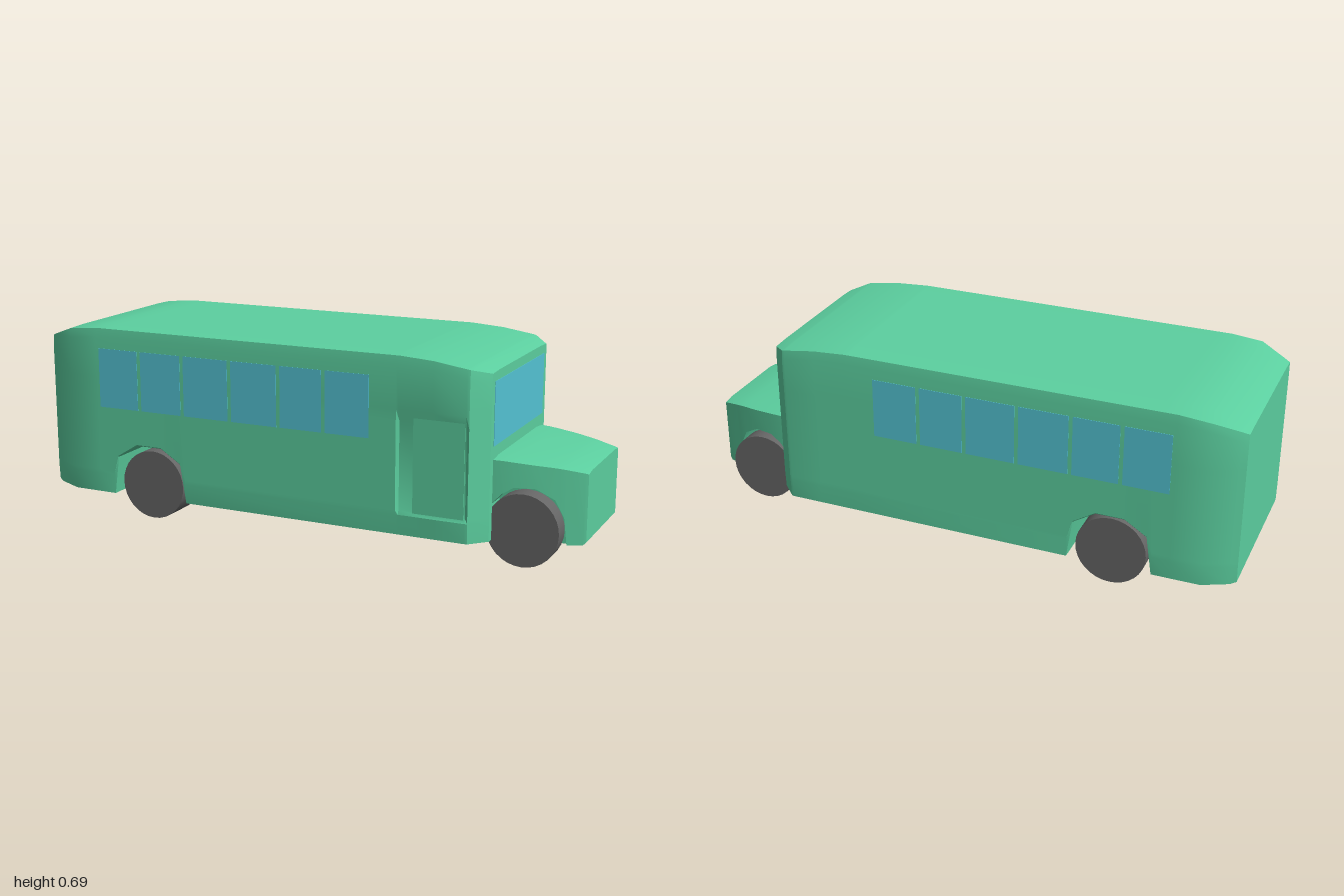
import * as THREE from 'three';
import { toCreasedNormals } from 'three/addons/utils/BufferGeometryUtils.js';

const GREEN = new THREE.MeshStandardMaterial({ color: 0x5cd0a0 });
const GLASS = new THREE.MeshStandardMaterial({ color: 0x54c4d4 });
const RUBBER = new THREE.MeshStandardMaterial({ color: 0x666666 });

// Skin over rings of [x, y, z]; each ring runs anticlockwise seen from +x.
function loft(rings, crease = 0.5) {
  const pos = [];
  const tri = (a, b, c) => pos.push(...a, ...b, ...c);
  const n = rings[0].length;
  for (let i = 0; i < rings.length - 1; i++) {
    for (let j = 0; j < n; j++) {
      const k = (j + 1) % n;
      const [a, b, c, d] = [rings[i][j], rings[i][k], rings[i + 1][k], rings[i + 1][j]];
      tri(a, b, c);
      tri(a, c, d);
    }
  }
  const first = rings[0];
  const last = rings[rings.length - 1];
  for (let j = 1; j < n - 1; j++) {
    tri(first[0], first[j + 1], first[j]);
    tri(last[0], last[j], last[j + 1]);
  }
  const geo = new THREE.BufferGeometry();
  geo.setAttribute('position', new THREE.Float32BufferAttribute(pos, 3));
  return toCreasedNormals(geo, crease);
}

function add(parent, name, geo, material, x = 0, y = 0, z = 0) {
  const mesh = new THREE.Mesh(geo, material);
  mesh.name = name;
  mesh.position.set(x, y, z);
  parent.add(mesh);
  return mesh;
}

// Body cross-section, with a shallow door recess on the +z side.
function bodyRing([x, bottom, top, w, recess = 0]) {
  const rows = [bottom, 0.15, 0.165, 0.47, 0.51, top - 0.035, top - 0.003];
  const inset = [0.004, 0, 0, 0, 0, 0, 0.004];
  const side = rows.map((y, i) => [Math.max(y, bottom + i * 0.004), w - inset[i]]);
  const right = side.map(([y, z]) => [x, y, -z]);
  const left = side.map(([y, z], i) => [x, y, z - (i === 2 || i === 3 ? recess : 0)]).reverse();
  return [...right, [x, top, -w * 0.76], [x, top, w * 0.76], ...left];
}

// Hood cross-section.
function hoodRing([x, bottom, top, w]) {
  return [
    [x, bottom, w], [x, bottom, -w], [x, top - 0.006, -w],
    [x, top, -w * 0.78], [x, top, w * 0.78], [x, top - 0.006, w],
  ];
}

export function createModel() {
  const bus = new THREE.Group();
  bus.name = 'bus';

  // Main body: x, underside, roof, half width, door recess
  const body = [
    [-1, 0.09, 0.642, 0.295], [-0.98, 0.082, 0.65, 0.304], [-0.89, 0.08, 0.682, 0.344],
    [-0.78, 0.08, 0.692, 0.345], [-0.72, 0.08, 0.692, 0.345], [-0.7, 0.22, 0.692, 0.345],
    [-0.62, 0.27, 0.692, 0.345], [-0.52, 0.27, 0.692, 0.345], [-0.44, 0.22, 0.692, 0.345],
    [-0.42, 0.08, 0.692, 0.345], [0.39, 0.08, 0.692, 0.345], [0.4, 0.08, 0.692, 0.345, 0.008],
    [0.52, 0.08, 0.684, 0.345, 0.008], [0.635, 0.08, 0.667, 0.345, 0.008],
    [0.645, 0.08, 0.665, 0.343], [0.7, 0.08, 0.648, 0.287],
  ];
  add(bus, 'body', loft(body.map(bodyRing)), GREEN);
  add(bus, 'door', new THREE.BoxGeometry(0.18, 0.33, 0.006), GREEN, 0.54, 0.325, 0.337);

  // Hood with wheel arches, and the narrower engine bay between the wheels
  const hood = [
    [0.695, 0.2, 0.36, 0.261], [0.73, 0.24, 0.359, 0.257], [0.77, 0.265, 0.356, 0.25],
    [0.84, 0.265, 0.35, 0.235], [0.9, 0.23, 0.344, 0.216], [0.93, 0.17, 0.34, 0.207],
    [0.94, 0.078, 0.338, 0.203], [0.99, 0.08, 0.33, 0.188], [1, 0.09, 0.327, 0.183],
  ];
  add(bus, 'hood', loft(hood.map(hoodRing)), GREEN);
  add(bus, 'engineBay', loft([[0.695, 0.08, 0.34, 0.185], [0.95, 0.078, 0.32, 0.188]].map(hoodRing)), GREEN);

  // Six windows on each side
  const edges = [-0.775, -0.601, -0.425, -0.235, -0.045, 0.125, 0.3];
  for (const s of [-1, 1]) {
    for (let i = 0; i < 6; i++) {
      const width = edges[i + 1] - edges[i] - 0.014;
      add(bus, 'sideWindow', new THREE.BoxGeometry(width, 0.215, 0.004), GLASS,
        (edges[i] + edges[i + 1]) / 2, 0.509, s * 0.3445);
    }
  }
  add(bus, 'windshield', new THREE.BoxGeometry(0.004, 0.217, 0.52), GLASS, 0.6995, 0.507, 0);

  // Wheels: x, inner z, outer z
  for (const [name, x, inner, outer] of [['frontWheel', 0.805, 0.195, 0.26], ['rearWheel', -0.57, 0.195, 0.32]]) {
    const geo = new THREE.CylinderGeometry(0.125, 0.125, outer - inner, 32).rotateX(Math.PI / 2);
    for (const s of [-1, 1]) add(bus, name, geo, RUBBER, x, 0.125, s * (inner + outer) / 2);
  }
  return bus;
}
